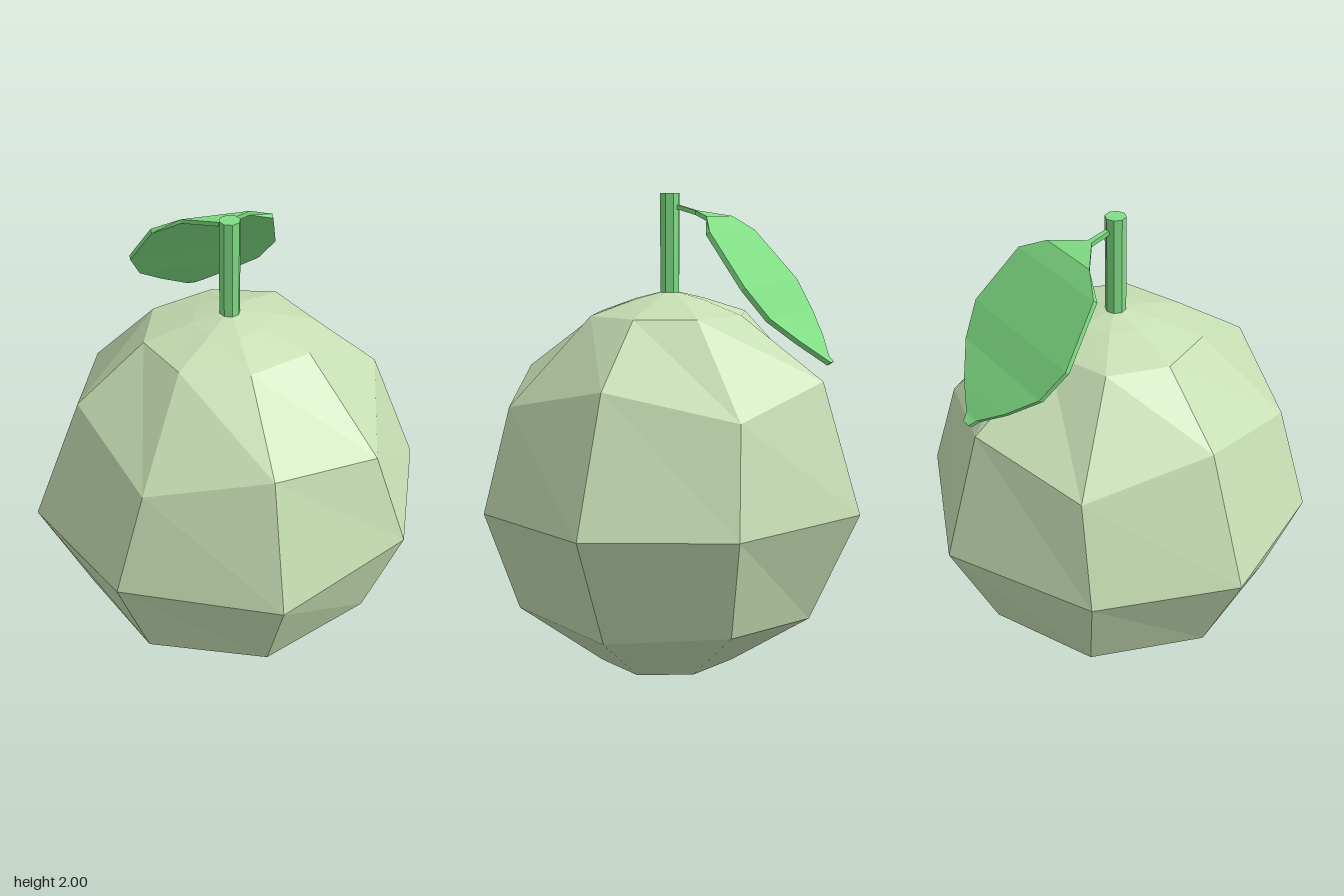
import * as THREE from 'three';

// Skin a stack of closed cross-sections with flat facets and capped ends
function loft(rings) {
  const pos = [];
  const tri = (...pts) => pts.forEach((p) => pos.push(...p));
  const n = rings[0].length;
  for (let r = 0; r < rings.length - 1; r++) {
    const a = rings[r], b = rings[r + 1];
    for (let i = 0; i < n; i++) {
      const j = (i + 1) % n;
      tri(a[i], b[i], b[j]);
      tri(a[i], b[j], a[j]);
    }
  }
  const first = rings[0], last = rings[rings.length - 1];
  for (let i = 1; i < n - 1; i++) {
    tri(first[0], first[i], first[i + 1]);
    tri(last[0], last[i + 1], last[i]);
  }
  const geometry = new THREE.BufferGeometry();
  geometry.setAttribute('position', new THREE.Float32BufferAttribute(pos, 3));
  geometry.computeVertexNormals();
  return geometry;
}

// Eight-sided ring: axis points and diagonal points may differ in reach and height
function octagon([ax, az, ay, dx, dz, dy]) {
  return [
    [ax, ay, 0], [dx, dy, dz], [0, ay, az], [-dx, dy, dz],
    [-ax, ay, 0], [-dx, dy, -dz], [0, ay, -az], [dx, dy, -dz],
  ];
}

export function createModel() {
  const group = new THREE.Group();
  const mat = (color) => new THREE.MeshStandardMaterial({ color, flatShading: true });
  const skin = mat(0xc6deb3), green = mat(0x80dd84);
  const add = (name, geometry, material) => {
    const mesh = new THREE.Mesh(geometry, material);
    mesh.name = name;
    group.add(mesh);
    return mesh;
  };

  // Faceted fruit, from the dimpled base to the crown
  const bodyRings = [
    [0.01, 0.01, 0.02, 0.007, 0.007, 0.02],
    [0.14, 0.12, 0, 0.1, 0.09, 0],
    [0.33, 0.29, 0.04, 0.23, 0.21, 0.04],
    [0.63, 0.63, 0.27, 0.47, 0.47, 0.31],
    [0.84, 0.835, 0.73, 0.6, 0.55, 0.73],
    [0.63, 0.67, 1.26, 0.47, 0.5, 1.15],
    [0.35, 0.32, 1.51, 0.26, 0.235, 1.51],
    [0.15, 0.15, 1.57, 0.11, 0.11, 1.57],
    [0.01, 0.01, 1.605, 0.007, 0.007, 1.605],
  ];
  add('fruitBody', loft(bodyRings.map(octagon)), skin);

  // Stem
  const stem = add('stem', new THREE.CylinderGeometry(0.042, 0.042, 0.42, 8), green);
  stem.position.y = 1.79;

  // Drooping leaf with its thin stalk: [half width, y, z] along the midrib
  const leafRows = [
    [0.01, 1.958, -0.02], [0.013, 1.93, -0.12], [0.14, 1.908, -0.22],
    [0.25, 1.85, -0.28], [0.313, 1.645, -0.45], [0.262, 1.525, -0.535],
    [0.145, 1.43, -0.62], [0.035, 1.36, -0.68], [0.02, 1.34, -0.705],
  ];
  const leafRings = leafRows.map(([w, y, z], i) => {
    const t = i < 3 ? [-0.018, 0] : [-0.012, 0.016]; // thickness offset in y and z
    return [
      [w, y, z], [-w, y, z],
      [-w, y + t[0], z + t[1]], [w, y + t[0], z + t[1]],
    ];
  });
  add('leaf', loft(leafRings), green);

  return group;
}
